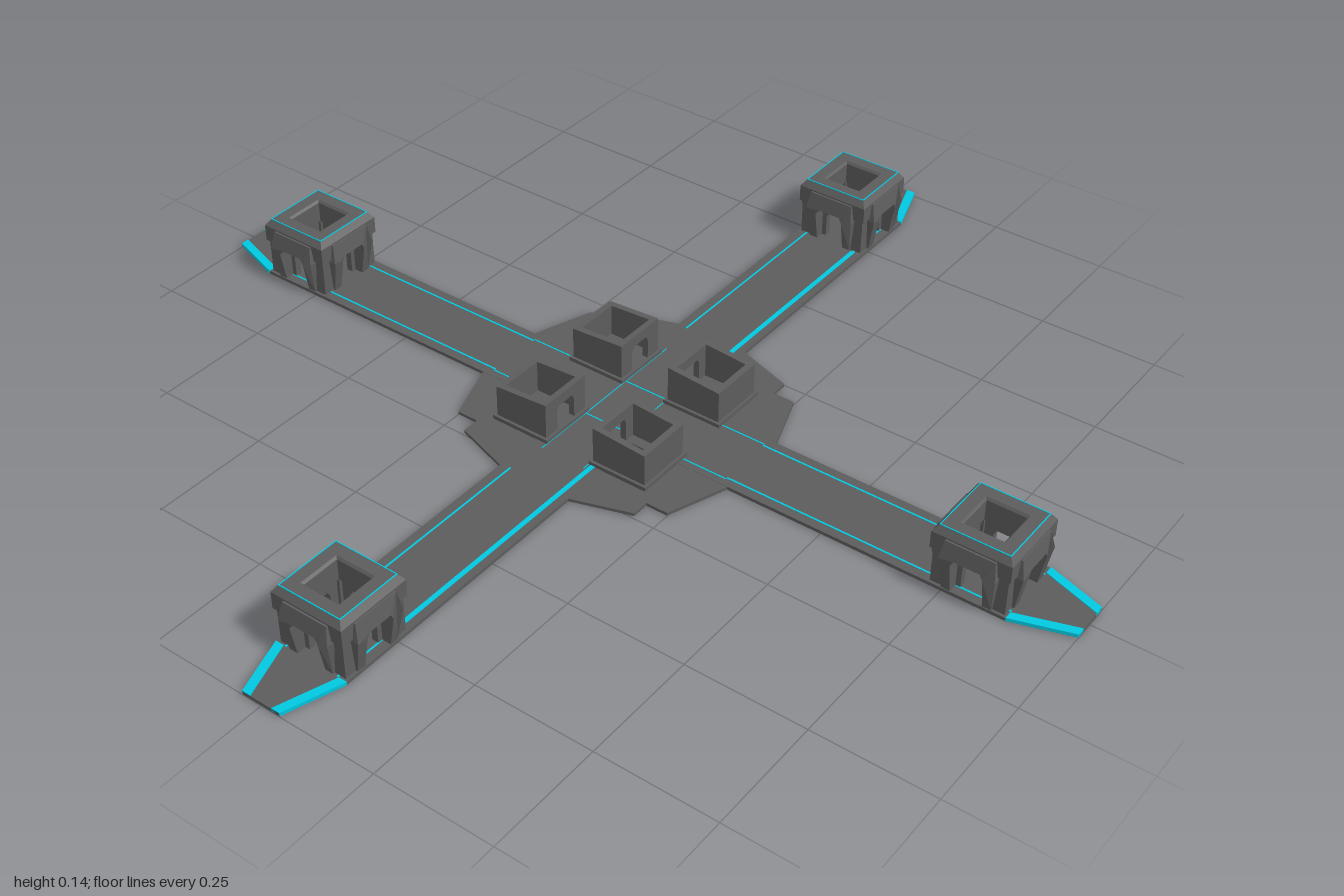
import * as THREE from 'three';

const dark = new THREE.MeshStandardMaterial({ color: 0x5c5c5c, flatShading: true });
const glow = new THREE.MeshStandardMaterial({ color: 0x00c8e0 });
const quarter = Math.PI / 2;

function add(parent, name, geometry, material = dark) {
  const mesh = new THREE.Mesh(geometry, material);
  mesh.name = name;
  parent.add(mesh);
  return mesh;
}

function box(x0, x1, y0, y1, z0, z1) {
  return new THREE.BoxGeometry(x1 - x0, y1 - y0, z1 - z0)
    .translate((x0 + x1) / 2, (y0 + y1) / 2, (z0 + z1) / 2);
}

const toShape = (pts) => new THREE.Shape(pts.map(([a, b]) => new THREE.Vector2(a, b)));

// Flat plate from an [x, z] outline, between two heights
function slab(pts, y0, y1) {
  return new THREE.ExtrudeGeometry(toShape(pts.map(([x, z]) => [x, -z])), { depth: y1 - y0, bevelEnabled: false })
    .rotateX(-quarter).translate(0, y0, 0);
}

// Upright wall with a doorway, from z0 to z1
function portal(halfBottom, halfTop, y0, yMid, y1, doorHalf, doorTop, z0, z1) {
  const d = doorHalf;
  const right = [[d, y0], [halfBottom, y0], [halfTop, yMid], [halfBottom, y1]];
  const left = right.map(([x, y]) => [-x, y]).reverse();
  const arch = [[-d, doorTop - 0.012], [-d + 0.006, doorTop], [d - 0.006, doorTop], [d, doorTop - 0.012]];
  return new THREE.ExtrudeGeometry(toShape([...right, ...left, ...arch]), { depth: z1 - z0, bevelEnabled: false })
    .translate(0, 0, z0);
}

// One walkway, running along +x
function createArm() {
  const arm = new THREE.Group();
  arm.name = 'arm';
  add(arm, 'walkway', slab([[0.07, -0.081], [0.88, -0.081], [1, -0.042], [1, 0.042], [0.88, 0.081], [0.07, 0.081]], 0, 0.007));
  for (const s of [-1, 1]) {
    const edge = [[0.88, s * 0.064], [1, s * 0.024], [1, s * 0.043], [0.88, s * 0.082]];
    add(arm, 'tipLight', slab(edge, 0.001, 0.0085), glow);
    add(arm, 'guideLight', box(0.28, 0.88, 0.006, 0.0075, s * 0.06 - 0.002, s * 0.06 + 0.002), glow);
  }
  return arm;
}

// Four-legged open tower with a portal on every side
function createTower() {
  const tower = new THREE.Group();
  tower.name = 'tower';
  const profile = [[0.04, 0.085], [0.08, 0.085], [0.08, 0.121], [0.07, 0.135], [0.044, 0.135], [0.04, 0.13], [0.04, 0.085]];
  add(tower, 'towerRim', new THREE.LatheGeometry(
    profile.map(([r, y]) => new THREE.Vector2(r * Math.SQRT2, y)), 4).rotateY(Math.PI / 4));
  for (let i = 0; i < 4; i++) {
    const side = new THREE.Group();
    side.name = 'towerSide';
    side.rotation.y = i * quarter;
    tower.add(side);
    add(side, 'leg', box(0.04, 0.075, 0.005, 0.09, 0.04, 0.075));
    add(side, 'innerDoorway', portal(0.043, 0.043, 0.005, 0.05, 0.09, 0.022, 0.067, 0.046, 0.06));
    // Outer frame bulges at mid height
    const frame = portal(0.05, 0.056, 0.005, 0.08, 0.118, 0.032, 0.085, 0.058, 0.09);
    const p = frame.attributes.position;
    for (let k = 0; k < p.count; k++) {
      if (p.getZ(k) < 0.07) continue;
      const y = p.getY(k);
      p.setZ(k, y < 0.08 ? 0.078 + 0.014 * y / 0.08 : 0.092 - 0.008 * (y - 0.08) / 0.038);
    }
    frame.computeVertexNormals();
    add(side, 'outerDoorway', frame);
    add(side, 'rimLight', box(-0.07, 0.07, 0.134, 0.1358, 0.0685, 0.0705), glow);
  }
  return tower;
}

// Open-topped room; the doorway faces x = 0 and the outer rim sits lower
function createRoom(sx, sz) {
  const room = new THREE.Group();
  room.name = 'room';
  const h = 0.06, t = 0.013;
  const slope = (g) => {
    const p = g.attributes.position;
    for (let k = 0; k < p.count; k++) {
      if (p.getY(k) > 0.085) p.setY(k, 0.087 + sx * -p.getX(k) * 0.07);
    }
    g.computeVertexNormals();
    return g;
  };
  add(room, 'roomBase', box(-0.066, 0.066, 0.004, 0.015, -0.066, 0.066));
  for (const s of [-1, 1]) {
    const z = s * (h - t / 2);
    add(room, 'sideWall', slope(box(-h, h, 0.014, 0.09, z - t / 2, z + t / 2)));
    add(room, 'bench', box(-0.022, 0.022, 0.014, 0.03, s * 0.016 - 0.006, s * 0.016 + 0.006));
  }
  const x = sx * (h - t / 2);
  add(room, 'outerWall', slope(box(x - t / 2, x + t / 2, 0.014, 0.09, -h + t, h - t)));
  const door = portal(h - t, h - t, 0.014, 0.05, 0.09, 0.026, 0.068, h - t, h).rotateY(-sx * quarter);
  add(room, 'doorWall', slope(door));
  room.position.set(sx * 0.116, 0, sz * 0.118);
  return room;
}

export function createModel() {
  const model = new THREE.Group();
  model.name = 'crossStation';

  // Stepped central platform, one quadrant mirrored round
  const quad = [[0.295, 0.08], [0.25, 0.208], [0.203, 0.208], [0.203, 0.245], [0.08, 0.285]];
  const flip = (sx, sz) => quad.map(([x, z]) => [x * sx, z * sz]);
  const outline = [...flip(1, 1), ...flip(-1, 1).reverse(), ...flip(-1, -1), ...flip(1, -1).reverse()];
  add(model, 'platform', slab(outline, 0, 0.0065));

  for (let i = 0; i < 4; i++) {
    const arm = createArm();
    const tower = createTower();
    tower.position.x = 0.8;
    arm.add(tower);
    arm.rotation.y = i * quarter;
    model.add(arm);
  }

  // Brighter guide strip along the length of the z walkways
  for (const s of [-1, 1]) {
    const strip = add(model, 'mainGuideLight', box(0.055, 0.065, 0.006, 0.008, 0.06, 0.72), glow);
    if (s < 0) strip.position.z = -0.78;
    // Crossing lights on the platform
    add(model, 'crossingLight', box(-0.28, 0.28, 0.006, 0.0075, s * 0.064 - 0.0015, s * 0.064 + 0.0015), glow);
    add(model, 'crossingLight', box(s * 0.05 - 0.001, s * 0.05 + 0.001, 0.006, 0.0075, -0.2, 0.2), glow);
  }

  for (const sx of [-1, 1]) {
    for (const sz of [-1, 1]) {
      model.add(createRoom(sx, sz));
      // Lights set in the underside
      add(model, 'undersideLight', box(sx * 0.05 - 0.02, sx * 0.05 + 0.02, -0.001, 0.003, sz * 0.05 - 0.02, sz * 0.05 + 0.02), glow);
    }
  }
  // Centre deck joining the four walkways
  add(model, 'centreDeck', box(-0.081, 0.081, 0, 0.007, -0.081, 0.081));
  return model;
}
